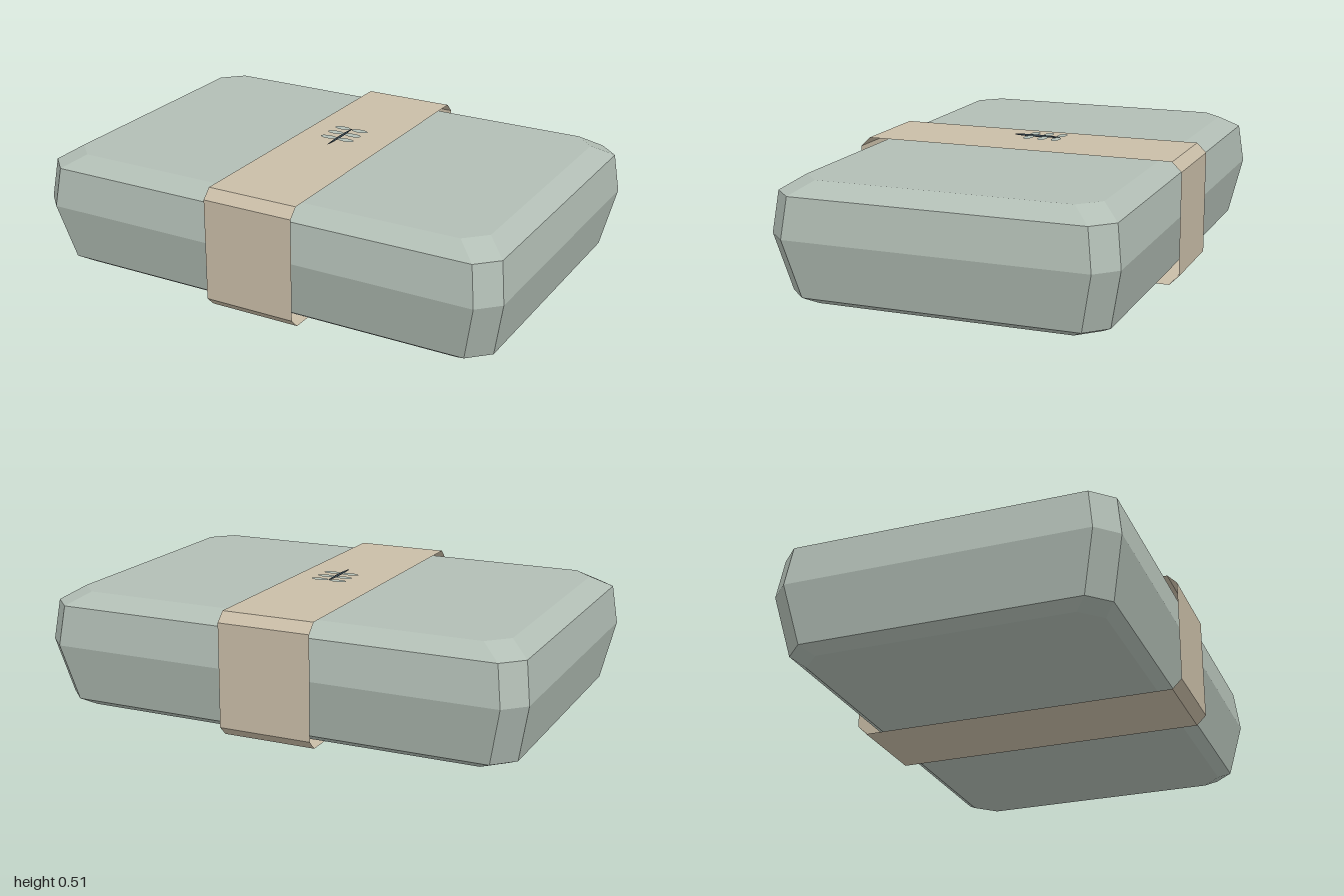
import * as THREE from 'three';

// Stack of chamfered rectangles: each level is [y, halfX, halfZ]
const CUT = 0.08;
function ring([y, hx, hz]) {
  const cx = hx - CUT, cz = hz - CUT;
  return [[hx, cz], [cx, hz], [-cx, hz], [-hx, cz], [-hx, -cz], [-cx, -hz], [cx, -hz], [hx, -cz]]
    .map(([x, z]) => new THREE.Vector3(x, y, z));
}

function loft(levels, capBottom, capTop) {
  const rings = levels.map(ring);
  const pos = [];
  const tri = (a, b, c) => [a, b, c].forEach(p => pos.push(p.x, p.y, p.z));
  for (let k = 0; k + 1 < rings.length; k++) {
    const lo = rings[k], hi = rings[k + 1];
    for (let i = 0; i < 8; i++) {
      const j = (i + 1) % 8;
      tri(lo[i], hi[i], hi[j]);
      tri(lo[i], hi[j], lo[j]);
    }
  }
  const bottom = rings[0], top = rings[rings.length - 1];
  for (let i = 1; i < 7; i++) {
    if (capBottom) tri(bottom[0], bottom[i], bottom[i + 1]);
    if (capTop) tri(top[0], top[i + 1], top[i]);
  }
  const g = new THREE.BufferGeometry();
  g.setAttribute('position', new THREE.Float32BufferAttribute(pos, 3));
  g.computeVertexNormals();
  return g;
}

// Open sleeve: a chamfered loop in the zy plane swept along x
function sleeve(halfWidth, hz, y0, y1, c) {
  const loop = [[hz, y0 + c], [hz, y1 - c], [hz - c, y1], [-hz + c, y1],
    [-hz, y1 - c], [-hz, y0 + c], [-hz + c, y0], [hz - c, y0]];
  const pos = [];
  loop.forEach(([z, y], i) => {
    const [z2, y2] = loop[(i + 1) % loop.length];
    const w = halfWidth;
    pos.push(-w, y, z, w, y, z, w, y2, z2, -w, y, z, w, y2, z2, -w, y2, z2);
  });
  const g = new THREE.BufferGeometry();
  g.setAttribute('position', new THREE.Float32BufferAttribute(pos, 3));
  g.computeVertexNormals();
  return g;
}

export function createModel() {
  const group = new THREE.Group();
  const make = (name, color, extra = {}) => {
    const m = new THREE.MeshStandardMaterial({ color, flatShading: true, ...extra });
    m.name = name;
    return m;
  };
  const sage = make('sage', 0xb2beb5, { side: THREE.DoubleSide });
  const kraft = make('kraft', 0xc9bda7, { side: THREE.DoubleSide });
  const ink = make('darkInk', 0x36454f);
  const add = (name, geometry, material, parent = group) => {
    const mesh = new THREE.Mesh(geometry, material);
    mesh.name = name;
    parent.add(mesh);
    return mesh;
  };

  // Box halves
  add('boxBase', loft([[0.01, 0.9, 0.58], [0.04, 0.95, 0.625], [0.27, 1, 0.675]], true, false), sage);
  add('boxLid', loft([[0.27, 1, 0.675], [0.43, 0.98, 0.655], [0.48, 0.9, 0.58]], false, true), sage);

  // Paper band around the middle
  add('paperBand', sleeve(0.19, 0.682, 0, 0.49, 0.038), kraft);

  // Sprig above the band: slim stem with three leaf pairs
  const sprig = new THREE.Group();
  sprig.name = 'sprig';
  sprig.position.y = 0.51;
  group.add(sprig);

  const stem = add('stem', new THREE.SphereGeometry(1, 8, 6), ink, sprig);
  stem.scale.set(0.004, 0.005, 0.102);
  stem.position.z = -0.024;

  const leafShape = new THREE.Shape();
  leafShape.absellipse(0.039, 0, 0.037, 0.018, 0, Math.PI * 2);
  const leafGeo = new THREE.ShapeGeometry(leafShape, 5).rotateX(-Math.PI / 2);
  for (const z of [-0.118, -0.06, 0]) {
    for (const side of [0, 1]) {
      const leaf = add(side ? 'rightLeaf' : 'leftLeaf', leafGeo, sage, sprig);
      leaf.position.z = z;
      leaf.rotation.y = side * Math.PI;
    }
  }
  return group;
}
